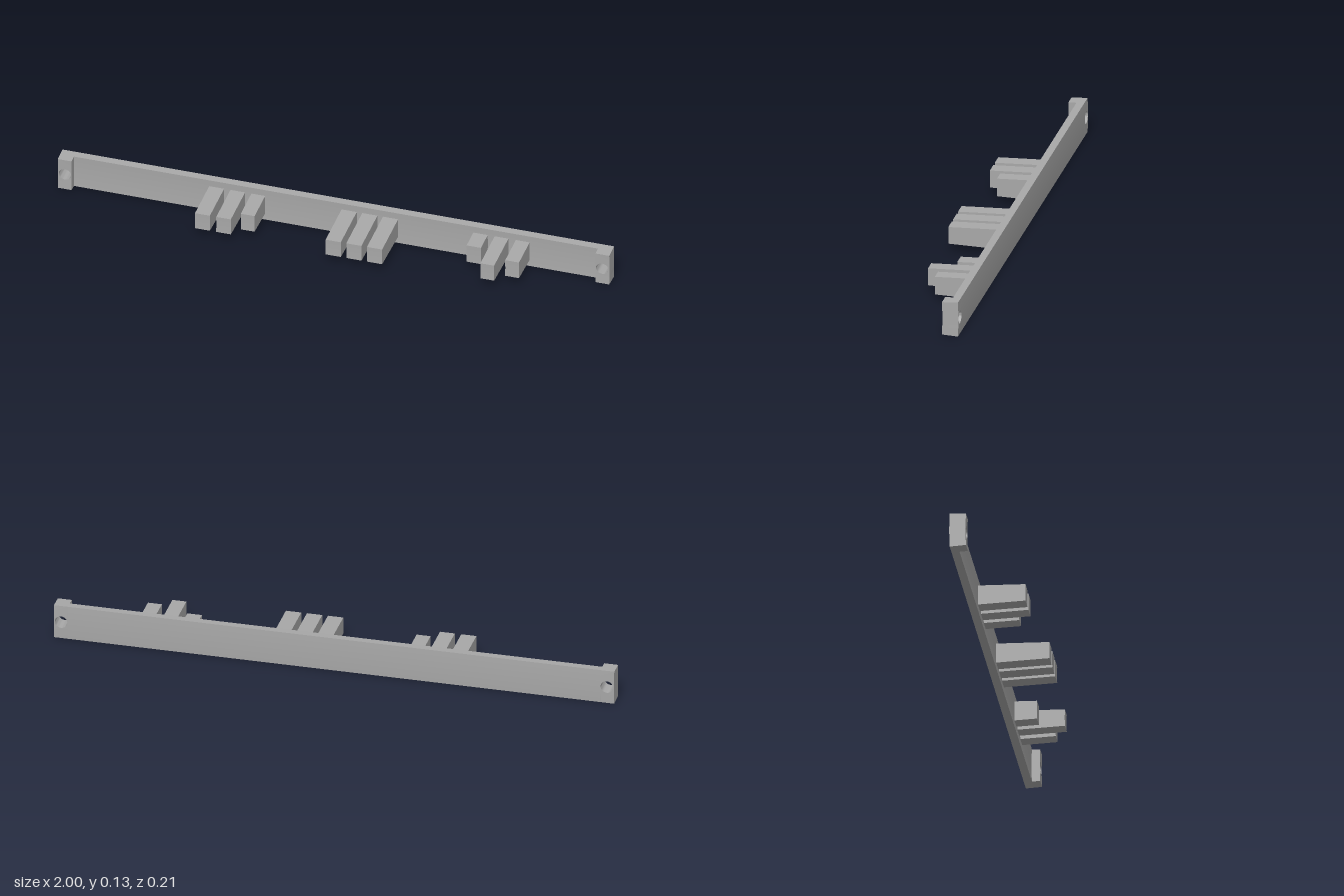
import * as THREE from 'three';
import { toCreasedNormals } from 'three/addons/utils/BufferGeometryUtils.js';

const R = 1.237;        // radius of the curved back surface
const BACK = -0.107;    // z of the back
const MID = 0.063;      // mid height
const BAR_H = 0.126;    // arc height of the bar
const PEG_H = 0.0745;   // arc height of the pegs, measured at the back radius
const WALL = 0.028;     // plate thickness
const BLOCK = 0.057;    // end block depth

// Bend a flat part (y = arc height, z = depth from the back) around the x axis,
// so all sides taper radially towards the front.
function bend(geometry) {
  const p = geometry.attributes.position;
  for (let i = 0; i < p.count; i++) {
    const a = p.getY(i) / R, r = R - p.getZ(i);
    p.setY(i, MID + r * Math.sin(a));
    p.setZ(i, BACK + R - r * Math.cos(a));
  }
  geometry.computeVertexNormals();
  return geometry;
}

function bentBox(x0, x1, height, d0, d1) {
  const g = new THREE.BoxGeometry(x1 - x0, height, d1 - d0, 1, 10, 1);
  g.translate((x0 + x1) / 2, 0, (d0 + d1) / 2);
  return bend(g);
}

// Mounting block with a round through hole
function endBlock(side) {
  const n = 10, pts = [];
  const y = (i) => -BAR_H / 2 + (BAR_H * i) / n;
  for (let i = 0; i <= n; i++) pts.push(new THREE.Vector2(side * 0.975 + 0.025, y(i)));
  for (let i = n; i >= 0; i--) pts.push(new THREE.Vector2(side * 0.975 - 0.025, y(i)));
  const shape = new THREE.Shape(pts);
  const hole = new THREE.Path();
  hole.absarc(side * 0.974, 0, 0.0225, 0, Math.PI * 2, true);
  shape.holes.push(hole);
  const g = new THREE.ExtrudeGeometry(shape, { depth: BLOCK, bevelEnabled: false, curveSegments: 12 });
  return toCreasedNormals(bend(g), 0.6);
}

export function createModel() {
  const model = new THREE.Group();
  model.name = 'mountingBar';
  const grey = new THREE.MeshStandardMaterial({ name: 'grey', color: 0xa8a8a8 });
  const add = (name, geometry) => {
    const mesh = new THREE.Mesh(geometry, grey);
    mesh.name = name;
    model.add(mesh);
  };

  add('backPlate', bentBox(-0.95, 0.95, BAR_H, 0, WALL));
  add('leftEndBlock', endBlock(1));
  add('rightEndBlock', endBlock(-1));

  // Pegs: start x, end x, z of the tip
  const pegs = [
    [-0.46, -0.406, 0.087], [-0.383, -0.33, 0.087], [-0.307, -0.257, 0.045],
    [0.02, 0.075, 0.107], [0.095, 0.15, 0.107], [0.17, 0.225, 0.107],
    [0.498, 0.55, 0.0], [0.575, 0.625, 0.087], [0.652, 0.702, 0.045],
  ];
  pegs.forEach(([x0, x1, tip], i) => {
    add(`peg${i + 1}`, bentBox(x0, x1, PEG_H, WALL - 0.002, tip - BACK));
  });
  return model;
}
